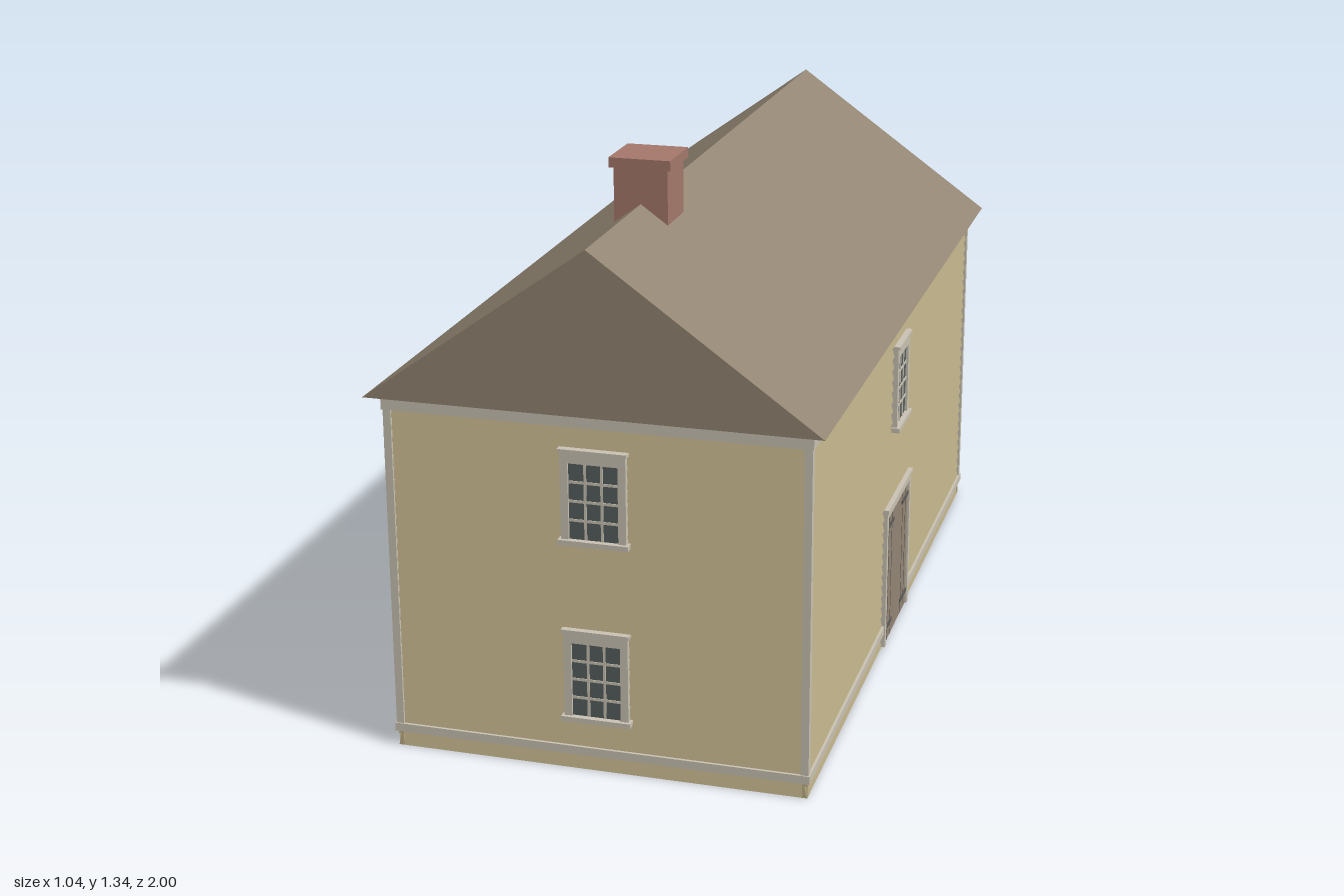
import * as THREE from 'three';

const mat = (name, color) => Object.assign(new THREE.MeshStandardMaterial({ color }), { name });

export function createModel() {
  const M = {
    siding: mat('tan siding', 0xbbad86),
    trim: mat('pale trim', 0xcac3b4),
    roof: mat('brown roof', 0x938573),
    brick: mat('brick', 0xa4786a),
    glass: mat('dark glass', 0x575d5d),
    barn: mat('barn door wood', 0x948574),
    iron: mat('dark iron', 0x5c5a56),
    door: mat('red door', 0x96604f),
  };
  const model = new THREE.Group();
  model.name = 'house';

  const mesh = (parent, name, geo, material) => {
    const m = new THREE.Mesh(geo, material);
    m.name = name;
    parent.add(m);
    return m;
  };
  // box given by its limits
  const box = (parent, name, material, x0, x1, y0, y1, z0, z1) => {
    const m = mesh(parent, name, new THREE.BoxGeometry(x1 - x0, y1 - y0, z1 - z0), material);
    m.position.set((x0 + x1) / 2, (y0 + y1) / 2, (z0 + z1) / 2);
    return m;
  };
  const group = (parent, name) => {
    const g = new THREE.Group();
    g.name = name;
    parent.add(g);
    return g;
  };

  // glass with a grid of thin bars
  const panes = (parent, x0, x1, y0, y1, cols, rows, z, bar = 0.006) => {
    box(parent, 'glass', M.glass, x0, x1, y0, y1, z - 0.006, z);
    for (let i = 1; i < cols; i++) {
      const x = x0 + (x1 - x0) * i / cols;
      box(parent, 'verticalBar', M.trim, x - bar / 2, x + bar / 2, y0, y1, z - 0.002, z + 0.002);
    }
    for (let j = 1; j < rows; j++) {
      const y = y0 + (y1 - y0) * j / rows;
      box(parent, 'horizontalBar', M.trim, x0, x1, y - bar / 2, y + bar / 2, z - 0.002, z + 0.002);
    }
  };

  // sash window with casing, cap and sill
  const sashWindow = (wall, x, y) => {
    const w = group(wall, 'window');
    w.position.set(x, y, 0);
    panes(w, -0.057, 0.057, 0.012, 0.19, 3, 4, 0.004);
    for (const s of [-1, 1]) {
      box(w, 'sideCasing', M.trim, Math.min(s * 0.057, s * 0.075), Math.max(s * 0.057, s * 0.075), 0.005, 0.215, -0.006, 0.01);
    }
    box(w, 'topCasing', M.trim, -0.057, 0.057, 0.19, 0.215, -0.006, 0.01);
    box(w, 'cap', M.trim, -0.079, 0.079, 0.215, 0.223, -0.006, 0.015);
    box(w, 'sill', M.trim, -0.081, 0.081, 0, 0.012, -0.006, 0.018);
  };

  // a clapboard wall with its trim; local z = 0 is the board face
  const makeWall = (name, angle, dist, half) => {
    const wall = group(model, name);
    wall.rotation.y = angle;
    wall.position.set(Math.sin(angle) * dist, 0, Math.cos(angle) * dist);
    const shape = new THREE.Shape();
    const boards = 30, pitch = 0.86 / boards;
    shape.moveTo(-0.012, 0);
    for (let i = 0; i < boards; i++) {
      shape.lineTo(0, i * pitch);
      shape.lineTo(-0.007, (i + 1) * pitch);
    }
    shape.lineTo(-0.012, 0.86);
    shape.closePath();
    const geo = new THREE.ExtrudeGeometry(shape, { depth: 2 * half, bevelEnabled: false });
    geo.rotateY(-Math.PI / 2).translate(half, 0, 0);
    mesh(wall, 'clapboards', geo, M.siding);
    box(wall, 'frieze', M.trim, -half - 0.006, half + 0.006, 0.822, 0.86, -0.01, 0.006);
    for (const s of [-1, 1]) {
      const c = box(wall, 'cornerBoard', M.trim, -0.009, 0.009, 0.04, 0.822, -0.01, 0.003);
      c.position.x = s * (half - 0.006);
    }
    return wall;
  };

  const front = makeWall('frontWall', 0, 0.965, 0.484);
  const back = makeWall('backWall', Math.PI, 0.965, 0.484);
  const left = makeWall('rightSideWall', Math.PI / 2, 0.484, 0.965);
  const right = makeWall('leftSideWall', -Math.PI / 2, 0.484, 0.965);

  // water table, interrupted at the doorways
  for (const [wall, half, gap] of [[front, 0.49, 0], [back, 0.49, 0.235], [left, 0.971, 0.15], [right, 0.971, 0]]) {
    for (const s of [-1, 1]) {
      box(wall, 'waterTable', M.trim, s < 0 ? -half : gap, s < 0 ? -gap : half, 0.037, 0.057, -0.01, 0.006);
    }
  }

  // windows
  for (const wall of [front, right]) {
    sashWindow(wall, 0, 0.55);
    sashWindow(wall, 0, 0.123);
  }
  sashWindow(left, 0, 0.55);
  for (const x of [-0.308, 0, 0.308]) sashWindow(back, x, 0.55);

  // double barn door
  const barn = group(left, 'barnDoor');
  for (const s of [-1, 1]) {
    const side = (name, m, a, b, y0, y1, z) =>
      box(barn, name, m, Math.min(s * a, s * b), Math.max(s * a, s * b), y0, y1, -0.006, z);
    side('doorLeaf', M.barn, 0, 0.135, 0, 0.345, 0.003);
    side('jamb', M.trim, 0.135, 0.152, 0, 0.345, 0.008);
    for (const y of [0.034, 0.308]) side('strapHinge', M.iron, 0.055, 0.135, y, y + 0.009, 0.006);
    for (const x of [0.066, 0.104]) side('plankGap', M.iron, x, x + 0.003, 0, 0.345, 0.0035);
  }
  box(barn, 'lintel', M.trim, -0.152, 0.152, 0.345, 0.362, -0.006, 0.008);
  box(barn, 'cap', M.trim, -0.157, 0.157, 0.362, 0.372, -0.006, 0.012);

  // shop front: door with transom beside a large display window
  const shop = group(back, 'shopFront');
  box(shop, 'leftPilaster', M.trim, -0.235, -0.205, 0, 0.4, -0.006, 0.01);
  box(shop, 'mullion', M.trim, -0.055, -0.04, 0, 0.36, -0.006, 0.01);
  box(shop, 'rightPilaster', M.trim, 0.218, 0.235, 0, 0.4, -0.006, 0.01);
  box(shop, 'fascia', M.trim, -0.205, 0.218, 0.35, 0.4, -0.006, 0.01);
  box(shop, 'cornice', M.trim, -0.242, 0.242, 0.4, 0.415, -0.006, 0.016);
  box(shop, 'bulkhead', M.trim, -0.04, 0.218, 0, 0.115, -0.006, 0.01);
  panes(shop, -0.04, 0.218, 0.115, 0.35, 6, 5, 0.004);
  panes(shop, -0.205, -0.055, 0.305, 0.35, 4, 1, 0.004);
  box(shop, 'transomRail', M.trim, -0.205, -0.055, 0.29, 0.305, -0.006, 0.008);
  box(shop, 'shopDoor', M.door, -0.205, -0.055, 0, 0.29, -0.006, 0.003);
  for (const x of [-0.182, -0.126]) {
    for (const y of [0.152, 0.21]) box(shop, 'doorGlass', M.glass, x, x + 0.05, y, y + 0.052, 0.002, 0.004);
    box(shop, 'doorPanel', M.door, x, x + 0.05, 0.03, 0.13, 0.002, 0.006);
  }

  // gable roof
  const gable = new THREE.Shape();
  gable.moveTo(-0.52, 0.857);
  gable.lineTo(0.52, 0.857);
  gable.lineTo(0, 1.23);
  gable.closePath();
  const roof = new THREE.ExtrudeGeometry(gable, { depth: 2, bevelEnabled: false });
  mesh(model, 'roof', roof.translate(0, 0, -1), M.roof);

  // chimney
  box(model, 'chimneyShaft', M.brick, -0.063, 0.063, 1.12, 1.312, 0.477, 0.603);
  box(model, 'chimneyCap', M.brick, -0.072, 0.072, 1.312, 1.335, 0.468, 0.612);

  return model;
}
